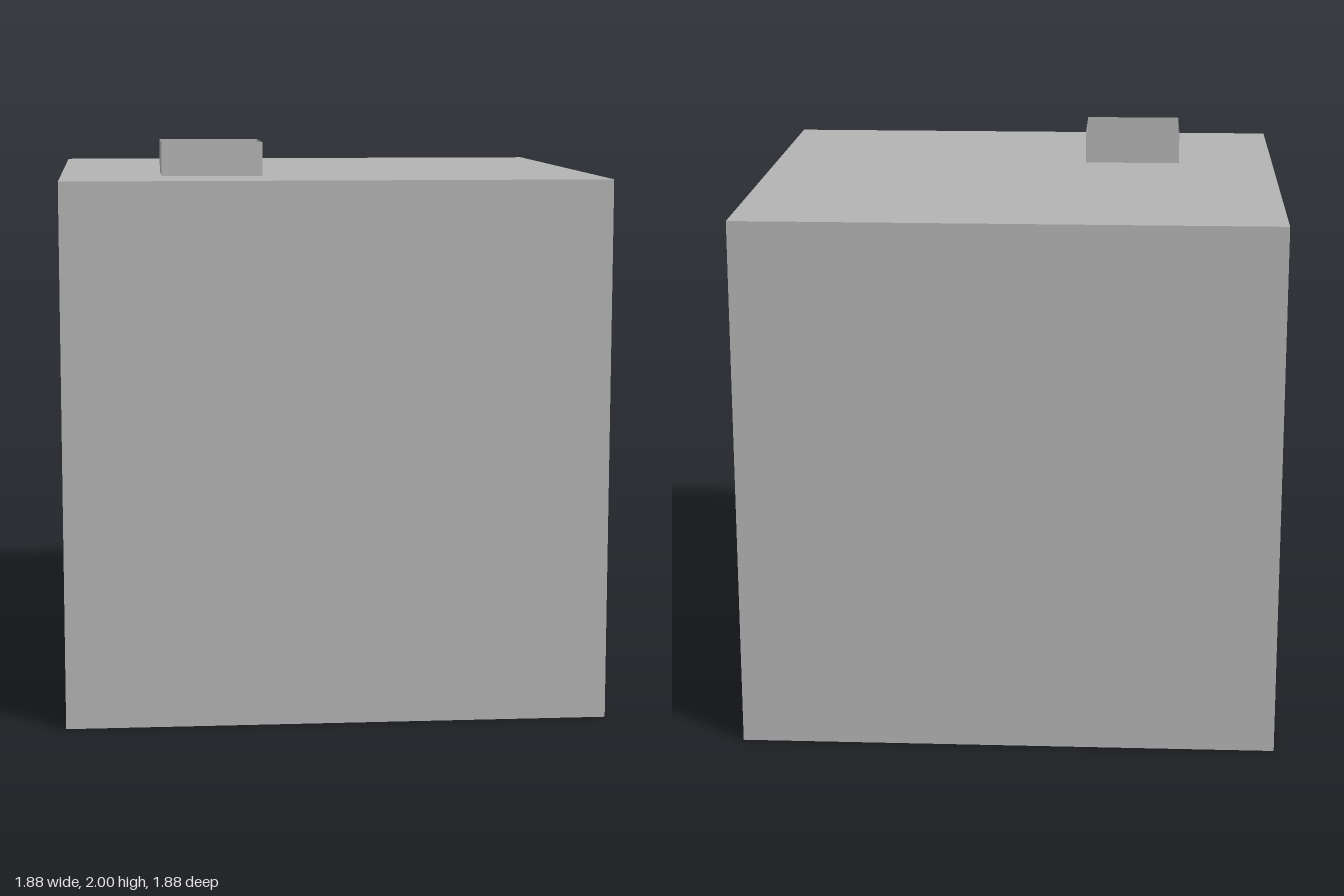
import * as THREE from 'three';

const U = 2 / 17; // grid unit: the body is a 16-unit cube with a 1-unit chimney

// Faces of a box, in the order of BoxGeometry's groups
const PX = 0, NX = 1, PY = 2, NY = 3, PZ = 4, NZ = 5;

// Box between two corners (in units) keeping only the listed faces; can be turned inside out
function panels(min, max, faces, inward = false) {
  const size = max.map((v, i) => (v - min[i]) * U);
  const mid = max.map((v, i) => ((v + min[i]) / 2) * U);
  const geo = new THREE.BoxGeometry(...size);
  const all = Array.from(geo.index.array);
  let index = faces.flatMap((f) => all.slice(f * 6, f * 6 + 6));
  if (inward) {
    index = index.reverse();
    const n = geo.attributes.normal;
    for (let i = 0; i < n.count; i++) n.setXYZ(i, -n.getX(i), -n.getY(i), -n.getZ(i));
  }
  geo.clearGroups();
  geo.setIndex(index);
  return geo.translate(...mid);
}

// Closed rectangle outline as points
function rect(x0, y0, x1, y1) {
  return [[x0, y0], [x1, y0], [x1, y1], [x0, y1]].map(([x, y]) => new THREE.Vector2(x * U, y * U));
}

export function createModel() {
  const model = new THREE.Group();
  model.name = 'hollowCubeOven';

  const grey = new THREE.MeshStandardMaterial({ color: 0xb2b2b2, side: THREE.DoubleSide });
  grey.name = 'plainGrey';

  const add = (name, geo) => {
    const mesh = new THREE.Mesh(geo, grey);
    mesh.name = name;
    model.add(mesh);
  };

  // Outer shell, open on the +x side
  add('outerShell', panels([-8, 0, -8], [8, 16, 8], [NX, PY, NY, PZ, NZ]));

  // Frame around the opening on the +x side
  const frame = new THREE.Shape(rect(-8, 0, 8, 16));
  frame.holes.push(new THREE.Path(rect(-6, 5, 6, 14).reverse()));
  add('openingFrame', new THREE.ShapeGeometry(frame).rotateY(Math.PI / 2).translate(8 * U, 0, 0));

  // Cavity lining, facing inward
  add('cavity', panels([-6, 5, -6], [8, 14, 6], [NX, PY, NY, PZ, NZ], true));

  // Shelf spanning the cavity, set back from the opening
  add('shelf', panels([-6, 6, -6], [7, 7, 6], [PX, PY, NY]));

  // Thin-walled square chimney, open at the top
  add('chimney', panels([-5, 16, 2], [-2, 17, 5], [PX, NX, PZ, NZ]));

  return model;
}
